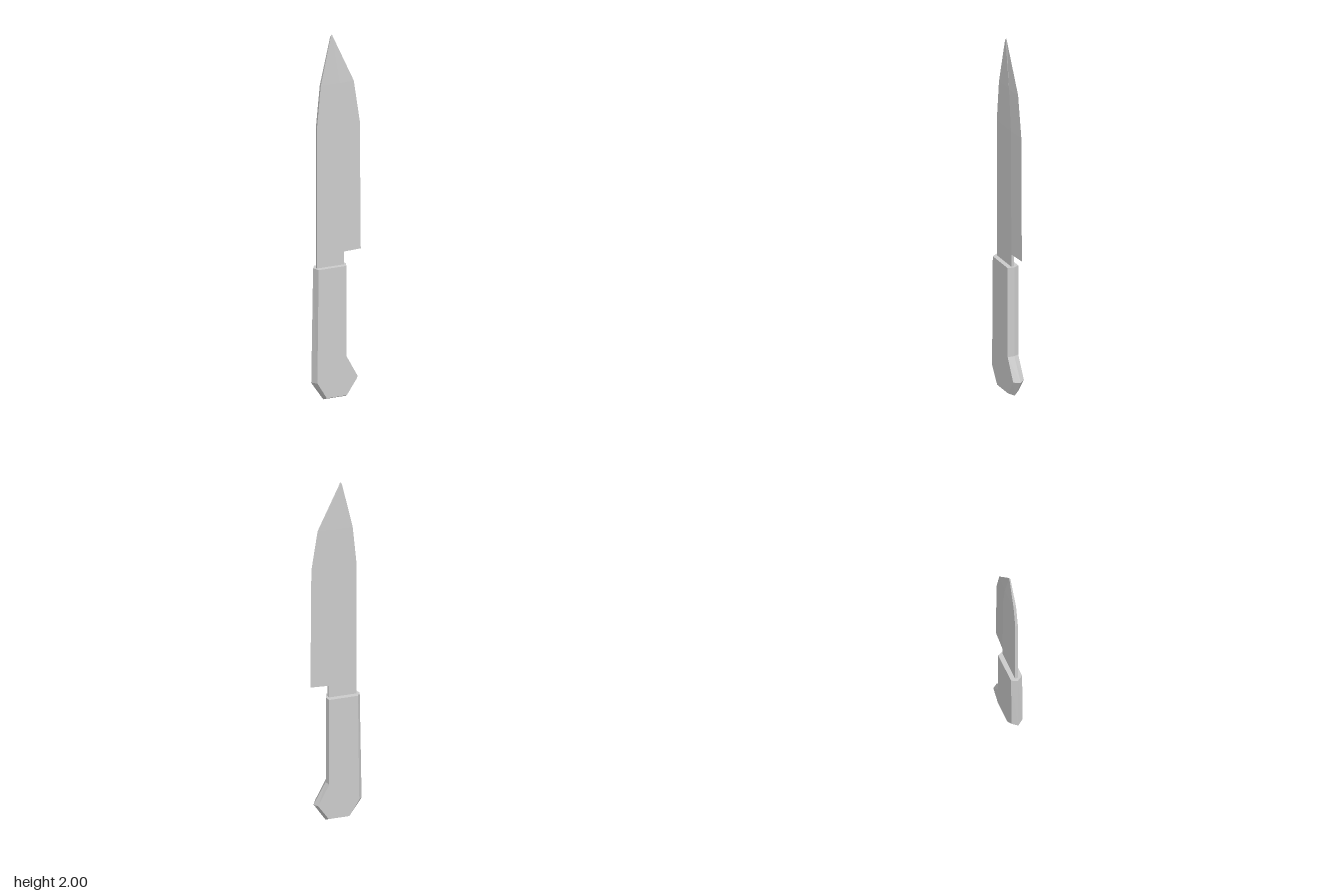
import * as THREE from 'three';

const material = new THREE.MeshStandardMaterial({ color: 0xcccccc, flatShading: true });

// Skins matching loops of points (counter-clockwise about the loft direction) and caps both ends
function loft(name, loops) {
  const pos = [];
  const tri = (a, b, c) => pos.push(...a, ...b, ...c);
  const n = loops[0].length;
  for (let k = 0; k < loops.length - 1; k++) {
    const a = loops[k], b = loops[k + 1];
    for (let i = 0; i < n; i++) {
      const j = (i + 1) % n;
      tri(a[i], a[j], b[j]);
      tri(a[i], b[j], b[i]);
    }
  }
  const first = loops[0], last = loops[loops.length - 1];
  for (let i = 1; i < n - 1; i++) {
    tri(first[0], first[i + 1], first[i]);
    tri(last[0], last[i], last[i + 1]);
  }
  const geometry = new THREE.BufferGeometry();
  geometry.setAttribute('position', new THREE.Float32BufferAttribute(pos, 3));
  geometry.computeVertexNormals();
  const mesh = new THREE.Mesh(geometry, material);
  mesh.name = name;
  return mesh;
}

export function createModel() {
  const group = new THREE.Group();
  group.name = 'knife';

  // Handle: wide outline at the middle, narrower outline on both faces.
  // Outlines start at the inner corner so that the caps can fan from it.
  const rim = [[0.053, 0.225], [0.053, 0.73], [-0.125, 0.73], [-0.135, 0.1],
    [-0.07, 0], [0.055, 0], [0.117, 0.1]];
  const face = [[0.043, 0.222], [0.043, 0.73], [-0.108, 0.73], [-0.115, 0.108],
    [-0.064, 0.018], [0.045, 0.018], [0.1, 0.103]];
  const at = (outline, z) => outline.map(([x, y]) => [x, y, z]);
  group.add(loft('handle', [at(face, -0.031), at(rim, -0.003), at(face, 0.031)]));

  // Blade: [height, spine x, bevel x, edge x, half thickness]
  const rows = [
    [0.8, -0.108, 0.04, 0.133, 0.0075],
    [1.5, -0.108, 0.035, 0.128, 0.0075],
    [1.73, -0.087, 0.015, 0.095, 0.007],
    [1.99, -0.032, -0.026, -0.019, 0.003],
    [2.0, -0.026, -0.024, -0.022, 0.001],
  ];
  group.add(loft('blade', rows.map(([y, spine, bevel, edge, t]) => [
    [edge, y, 0], [bevel, y, -t], [spine, y, -t], [spine, y, t], [bevel, y, t],
  ])));

  // Tang joining the blade to the handle
  const tang = new THREE.Mesh(new THREE.BoxGeometry(0.148, 0.1, 0.015), material);
  tang.position.set(-0.034, 0.75, 0);
  tang.name = 'tang';
  group.add(tang);

  return group;
}
